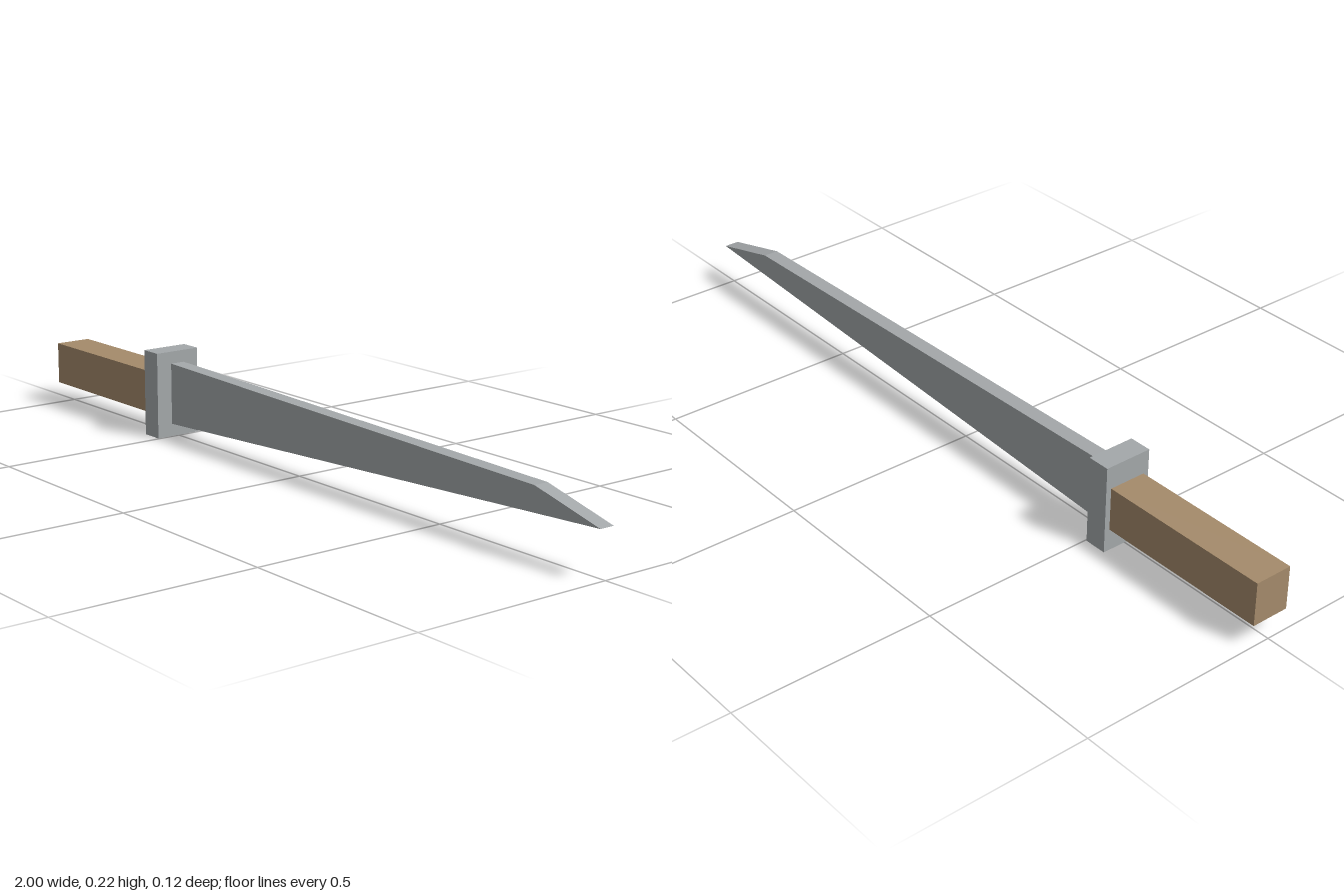
import * as THREE from 'three';

export function createModel() {
  const model = new THREE.Group();
  model.name = 'knife';

  const steel = new THREE.MeshStandardMaterial({ color: 0xa4a8aa });
  steel.name = 'grey steel';
  const wood = new THREE.MeshStandardMaterial({ color: 0xa58b6b });
  wood.name = 'brown wood';

  // Box given by its x range, y range and full depth
  function block(name, [x0, x1], [y0, y1], depth, material) {
    const mesh = new THREE.Mesh(new THREE.BoxGeometry(x1 - x0, y1 - y0, depth), material);
    mesh.position.set((x0 + x1) / 2, (y0 + y1) / 2, 0);
    mesh.name = name;
    model.add(mesh);
  }

  block('handle', [-1, -0.56], [0.055, 0.163], 0.095, wood);
  block('guard', [-0.56, -0.503], [0, 0.22], 0.123, steel);

  // Blade: tapering flat slab with a clipped point
  const outline = new THREE.Shape([
    [-0.503, 0.032], [1, 0.112], [0.81, 0.161], [-0.503, 0.189],
  ].map(([x, y]) => new THREE.Vector2(x, y)));
  const thickness = 0.038;
  const bladeGeometry = new THREE.ExtrudeGeometry(outline, { depth: thickness, bevelEnabled: false });
  bladeGeometry.translate(0, 0, -thickness / 2);
  const blade = new THREE.Mesh(bladeGeometry, steel);
  blade.name = 'blade';
  model.add(blade);

  return model;
}
